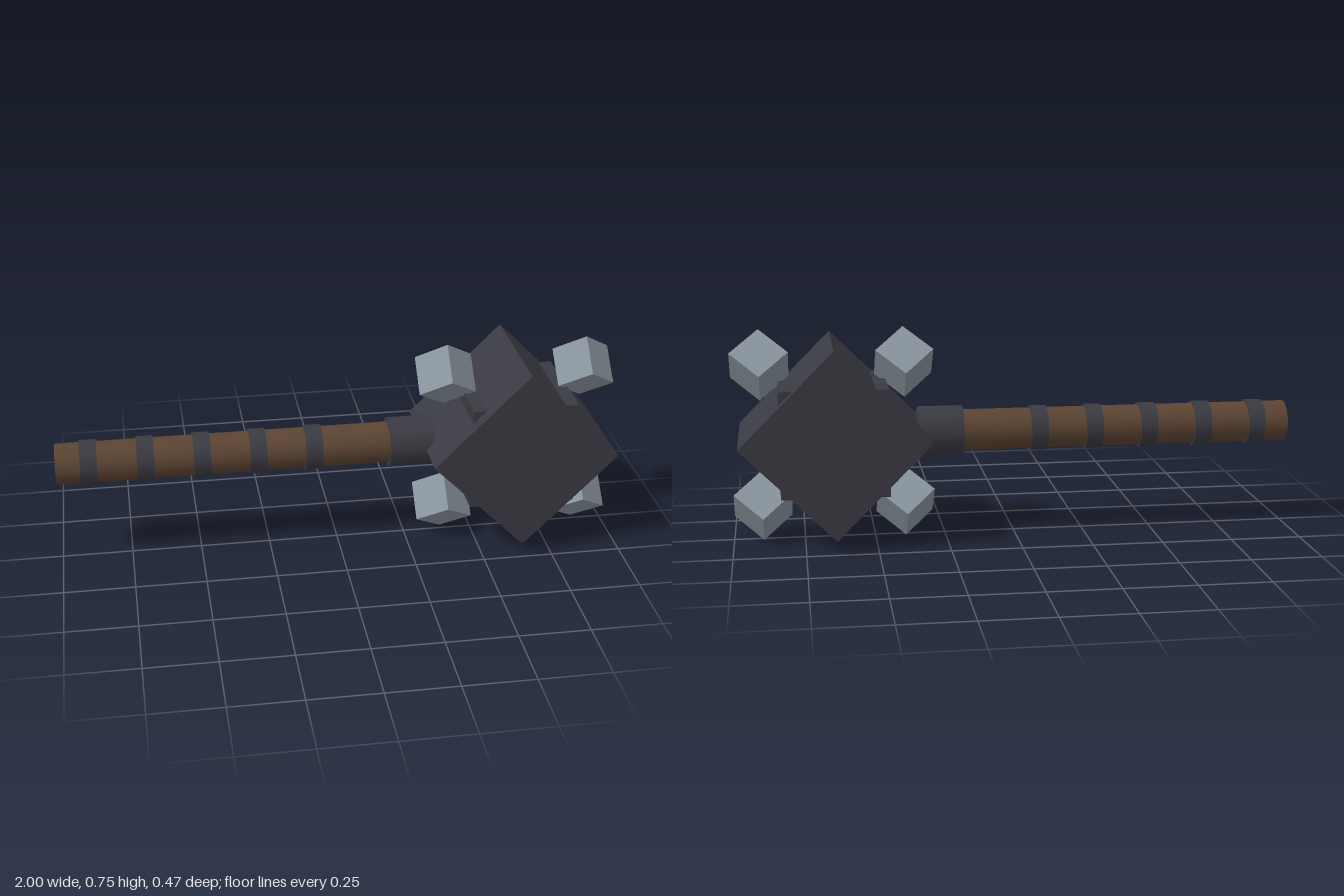
import * as THREE from 'three';

const AXIS_Y = 0.378; // height of the shaft axis and head centre
const HEAD_X = 0.643;

function material(name, color) {
  const m = new THREE.MeshStandardMaterial({ color });
  m.name = name;
  return m;
}

export function createModel() {
  const group = new THREE.Group();
  group.name = 'warHammer';
  const wood = material('brown wood', 0x5c4433);
  const iron = material('dark iron', 0x3a3a42);
  const steel = material('pale steel', 0x8a959e);

  const add = (name, geometry, mat, x, y = AXIS_Y) => {
    const mesh = new THREE.Mesh(geometry, mat);
    mesh.name = name;
    mesh.position.set(x, y, 0);
    group.add(mesh);
    return mesh;
  };

  // Round part lying along x
  const rod = (name, radius, x0, x1, mat) =>
    add(name, new THREE.CylinderGeometry(radius, radius, x1 - x0, 24).rotateZ(-Math.PI / 2), mat, (x0 + x1) / 2);

  // Shaft with grip bands and a collar at the head
  rod('shaft', 0.073, -1, 0.3, wood);
  for (let i = 0; i < 5; i++) {
    const x = -0.885 + i * 0.199;
    rod('gripBand', 0.08, x - 0.03, x + 0.03, iron);
  }
  rod('collar', 0.088, 0.184, 0.344, iron);

  // Head block, turned on edge
  add('head', new THREE.BoxGeometry(0.469, 0.469, 0.469), iron, HEAD_X).rotation.z = Math.PI / 4;

  // One ridge and one floating cube for each slanted face
  for (const sx of [-1, 1]) {
    for (const sy of [-1, 1]) {
      add('ridge', new THREE.BoxGeometry(0.047, 0.047, 0.378), iron,
        HEAD_X + sx * 0.166, AXIS_Y + sy * 0.166);
      add('studCube', new THREE.BoxGeometry(0.144, 0.144, 0.144), steel,
        HEAD_X + sx * 0.2525, AXIS_Y + sy * 0.2525).rotation.set(Math.PI / 4, 0, Math.PI / 4);
    }
  }
  return group;
}
